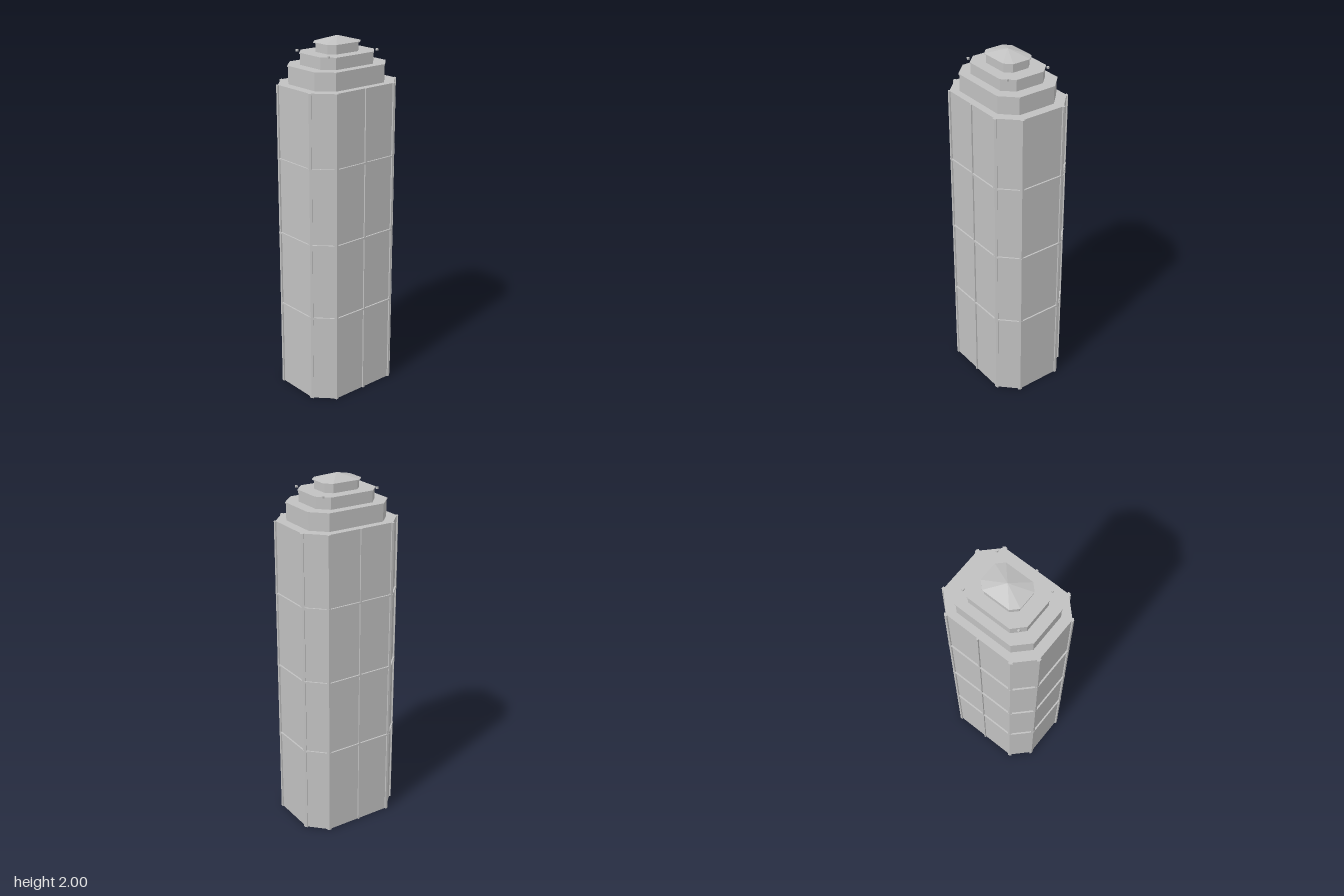
import * as THREE from 'three';

const stone = new THREE.MeshStandardMaterial({ color: 0xc0c0c0, flatShading: true, side: THREE.DoubleSide });
stone.name = 'grey stone';

// Chamfered rectangle: half sizes hx, hz and half lengths of the straight sides cx, cz
const octagon = ({ hx, hz, cx, cz }) => [
  [-cx, hz], [cx, hz], [hx, cz], [hx, -cz],
  [cx, -hz], [-cx, -hz], [-hx, -cz], [-hx, cz],
];
const grow = (o, d) => ({
  hx: o.hx + d, hz: o.hz + d, cx: o.cx + d * 0.414, cz: o.cz + d * 0.414,
});
const POINT = { hx: 0, hz: 0, cx: 0, cz: 0 };

// Skin a stack of octagons given as [octagon, height]
function loft(levels) {
  const pos = [];
  for (let k = 0; k + 1 < levels.length; k++) {
    const lo = octagon(levels[k][0]), hi = octagon(levels[k + 1][0]);
    const y0 = levels[k][1], y1 = levels[k + 1][1];
    for (let i = 0; i < 8; i++) {
      const j = (i + 1) % 8;
      const a = [lo[i][0], y0, lo[i][1]], b = [lo[j][0], y0, lo[j][1]];
      const c = [hi[j][0], y1, hi[j][1]], d = [hi[i][0], y1, hi[i][1]];
      pos.push(...a, ...b, ...c);
      if (levels[k + 1][0] !== POINT) pos.push(...a, ...c, ...d);
    }
  }
  const g = new THREE.BufferGeometry();
  g.setAttribute('position', new THREE.Float32BufferAttribute(pos, 3));
  g.computeVertexNormals();
  return g;
}

export function createModel() {
  const model = new THREE.Group();
  model.name = 'tower';
  const add = (name, geometry, x = 0, y = 0, z = 0) => {
    const mesh = new THREE.Mesh(geometry, stone);
    mesh.name = name;
    mesh.position.set(x, y, z - 0.011);
    model.add(mesh);
  };

  const body = { hx: 0.228, hz: 0.296, cx: 0.131, cz: 0.2 };
  const top = 1.755;

  // Main shaft, open at the bottom
  add('shaft', loft([[body, 0], [body, top], [POINT, top]]));

  // Horizontal bands
  const outer = grow(body, 0.009);
  for (const y of [0.5, 0.928, 1.353]) {
    const y0 = y - 0.005, y1 = y + 0.005;
    add('band', loft([[body, y0], [outer, y0], [outer, y1], [body, y1]]));
  }

  // Vertical strips folded round each corner of the shaft
  const inner = octagon(body), rim = octagon(grow(body, 0.008));
  const toward = (p, q, d) => {
    const l = Math.hypot(q[0] - p[0], q[1] - p[1]);
    return [p[0] + (q[0] - p[0]) * d / l, p[1] + (q[1] - p[1]) * d / l];
  };
  for (let i = 0; i < 8; i++) {
    const p = (i + 7) % 8, n = (i + 1) % 8;
    const outline = [
      toward(inner[i], inner[p], 0.01), inner[i], toward(inner[i], inner[n], 0.01),
      toward(rim[i], rim[n], 0.013), rim[i], toward(rim[i], rim[p], 0.013),
    ].map(([x, z]) => new THREE.Vector2(x, -z));
    const strip = new THREE.ExtrudeGeometry(new THREE.Shape(outline), { depth: top, bevelEnabled: false });
    add('cornerStrip', strip.rotateX(-Math.PI / 2));
  }

  // Middle strip on each long side
  for (const s of [-1, 1]) {
    add('sideStrip', new THREE.BoxGeometry(0.008, top, 0.01), s * 0.232, top / 2, 0);
  }

  // Stepped crown tiers with a slim projecting lip
  const tiers = [
    { name: 'lowerTier', o: { hx: 0.187, hz: 0.243, cx: 0.109, cz: 0.166 }, y0: top, y1: 1.853 },
    { name: 'upperTier', o: { hx: 0.142, hz: 0.183, cx: 0.083, cz: 0.127 }, y0: 1.853, y1: 1.917 },
  ];
  for (const { name, o, y0, y1 } of tiers) {
    const lip = grow(o, 0.004);
    add(name, loft([[o, y0], [o, y1 - 0.007], [lip, y1 - 0.007], [lip, y1], [POINT, y1]]));
  }

  // Lantern and its pointed roof
  const lantern = { hx: 0.082, hz: 0.107, cx: 0.049, cz: 0.074 };
  const eaves = { hx: 0.09, hz: 0.118, cx: 0.053, cz: 0.081 };
  add('lantern', loft([[lantern, 1.917], [lantern, 1.965]]));
  add('roof', loft([[POINT, 1.964], [eaves, 1.964], [eaves, 1.968], [POINT, 2]]));

  // Small corner finials beside the upper tier
  for (const sx of [-1, 1]) for (const sz of [-1, 1]) {
    add('finial', new THREE.BoxGeometry(0.011, 0.011, 0.011), sx * 0.128, 1.921, sz * 0.167);
  }
  return model;
}
